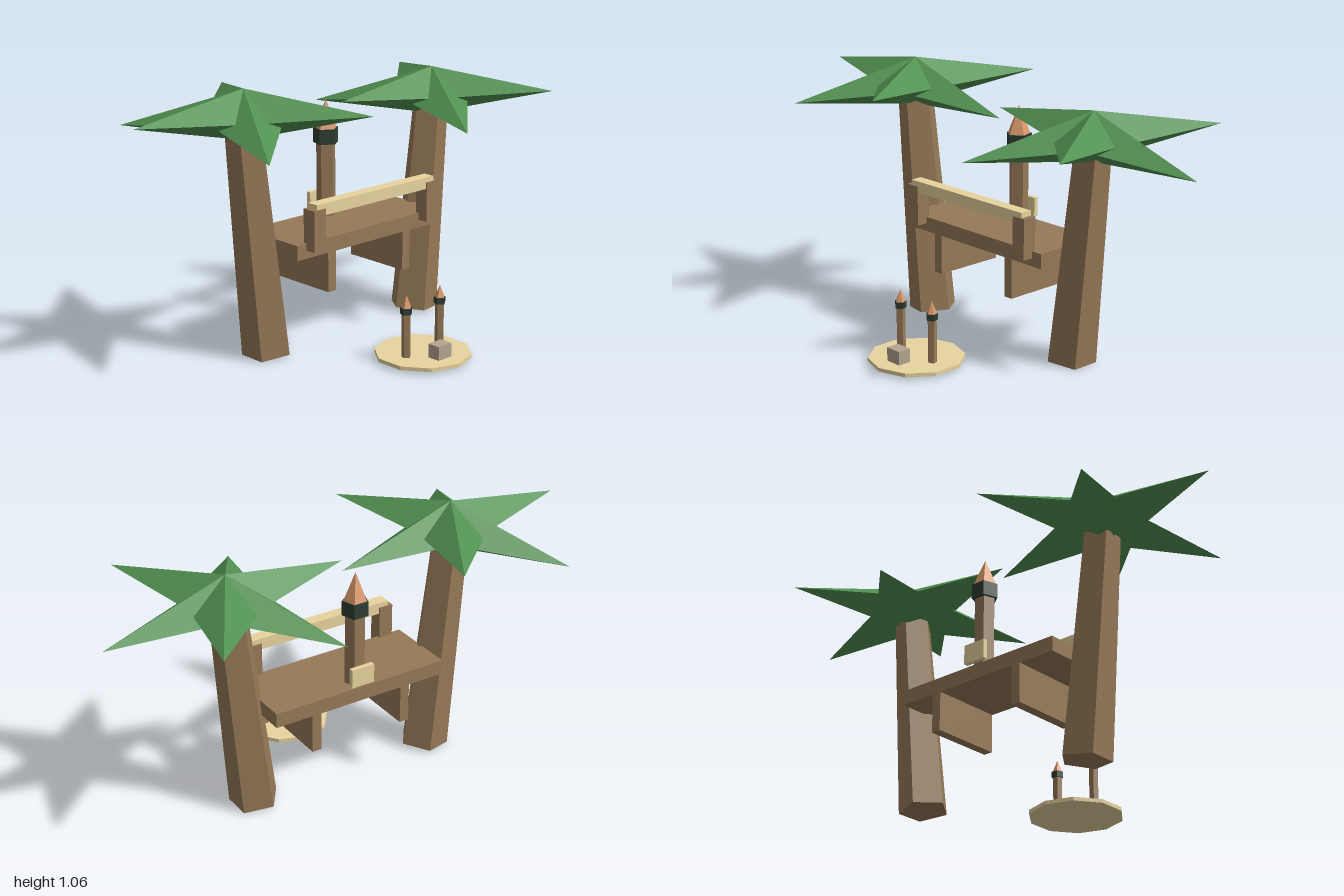
import * as THREE from 'three';

const material = (color) => new THREE.MeshStandardMaterial({ color, flatShading: true });
const WOOD = material(0x967957);
const LEAF = material(0x529152);
const SAND = material(0xe8d49e);
const DARK = material(0x2f3d33);
const FLAME = material(0xdc9a6c);
const STONE = material(0xb4a490);

function add(parent, name, geometry, mat, x = 0, y = 0, z = 0) {
  const mesh = new THREE.Mesh(geometry, mat);
  mesh.name = name;
  mesh.position.set(x, y, z);
  parent.add(mesh);
  return mesh;
}

// Box given by its minimum and maximum on each axis
function box(parent, name, mat, [x0, x1], [y0, y1], [z0, z1]) {
  return add(parent, name, new THREE.BoxGeometry(x1 - x0, y1 - y0, z1 - z0), mat,
    (x0 + x1) / 2, (y0 + y1) / 2, (z0 + z1) / 2);
}

// Kite-shaped leaf along +x, folded down from its ridge to two shoulders
function leafGeometry(tipY, shoulderY) {
  const top = [0, 0, 0], bottom = [0, -0.195, 0], tip = [0.5, tipY, 0];
  const near = [0.125, shoulderY, 0.117], far = [0.125, shoulderY, -0.117];
  const faces = [
    top, near, tip, top, tip, far,
    bottom, tip, near, bottom, far, tip,
    top, bottom, near, top, far, bottom,
  ];
  const geometry = new THREE.BufferGeometry();
  geometry.setAttribute('position', new THREE.Float32BufferAttribute(faces.flat(), 3));
  geometry.computeVertexNormals();
  return geometry;
}

// Leaning five-sided trunk under six leaves, alternately raised and drooping
function palmTree(side, crownTop) {
  const tree = new THREE.Group();
  tree.name = side < 0 ? 'rightPalmTree' : 'leftPalmTree';
  const base = new THREE.Vector3(side * 0.403, 0.01, -0.1);
  const lean = new THREE.Vector3(side * 0.105, 1, 0).normalize();
  const length = crownTop - 0.155;
  const geometry = new THREE.CylinderGeometry(0.075, 0.1, length, 5);
  geometry.rotateY(-side * Math.PI / 2);
  const trunk = add(tree, 'trunk', geometry, WOOD);
  trunk.position.copy(base).addScaledVector(lean, length / 2);
  trunk.quaternion.setFromUnitVectors(new THREE.Vector3(0, 1, 0), lean);
  const raised = leafGeometry(-0.075, -0.1);
  const drooping = leafGeometry(-0.17, -0.125);
  for (let i = 0; i < 6; i++) {
    const leaf = add(tree, 'leaf', i % 2 ? raised : drooping, LEAF, side * 0.5, crownTop, -0.1);
    leaf.rotation.y = (i * Math.PI) / 3;
  }
  return tree;
}

// Five-sided post with a dark collar and a pointed flame
function torch(name, x, z, y, [postR, collarR, flameR], [postH, collarH, flameH]) {
  const group = new THREE.Group();
  group.name = name;
  group.position.set(x, y, z);
  add(group, 'torchPost', new THREE.CylinderGeometry(postR, postR, postH, 5), WOOD, 0, postH / 2);
  add(group, 'torchCollar', new THREE.CylinderGeometry(collarR, collarR, collarH, 5), DARK, 0, postH + collarH / 2);
  add(group, 'torchFlame', new THREE.ConeGeometry(flameR, flameH, 5), FLAME, 0, postH + collarH + flameH / 2);
  return group;
}

export function createModel() {
  const model = new THREE.Group();
  model.name = 'palmStall';

  model.add(palmTree(-1, 1.065), palmTree(1, 1.015));

  // Everything between the palms
  const stall = new THREE.Group();
  stall.name = 'stall';
  stall.position.x = 0.004;
  model.add(stall);

  // Counter with legs and a front rail on posts
  const counter = new THREE.Group();
  counter.name = 'counter';
  box(counter, 'counterTop', WOOD, [-0.38, 0.38], [0.405, 0.465], [-0.25, 0.05]);
  for (const s of [-1, 1]) {
    box(counter, 'counterLeg', WOOD, [s * 0.202 - 0.02, s * 0.202 + 0.02], [0.245, 0.405], [-0.25, 0.05]);
    box(counter, 'railPost', WOOD, [s * 0.303 - 0.03, s * 0.303 + 0.03], [0.437, 0.6], [0.035, 0.095]);
  }
  box(counter, 'rail', SAND, [-0.315, 0.315], [0.573, 0.62], [0.04, 0.09]);
  stall.add(counter);

  // Tall torch at the back with its plaque
  stall.add(torch('tallTorch', 0, -0.2, 0.465, [0.04, 0.053, 0.047], [0.295, 0.06, 0.115]));
  box(stall, 'plaque', SAND, [-0.05, 0.05], [0.477, 0.555], [-0.26, -0.241]);

  // Ten-sided sand patch with two small torches and a stone
  const patch = new THREE.Group();
  patch.name = 'sandPatch';
  add(patch, 'sandDisc', new THREE.CylinderGeometry(0.19, 0.19, 0.015, 10), SAND, 0, 0.0195, 0.345);
  for (const s of [-1, 1]) {
    patch.add(torch('smallTorch', s * 0.092, 0.345, 0.025, [0.0185, 0.024, 0.02], [0.175, 0.025, 0.05]));
  }
  box(patch, 'stone', STONE, [-0.035, 0.035], [0.025, 0.082], [0.408, 0.463]);
  stall.add(patch);

  return model;
}
